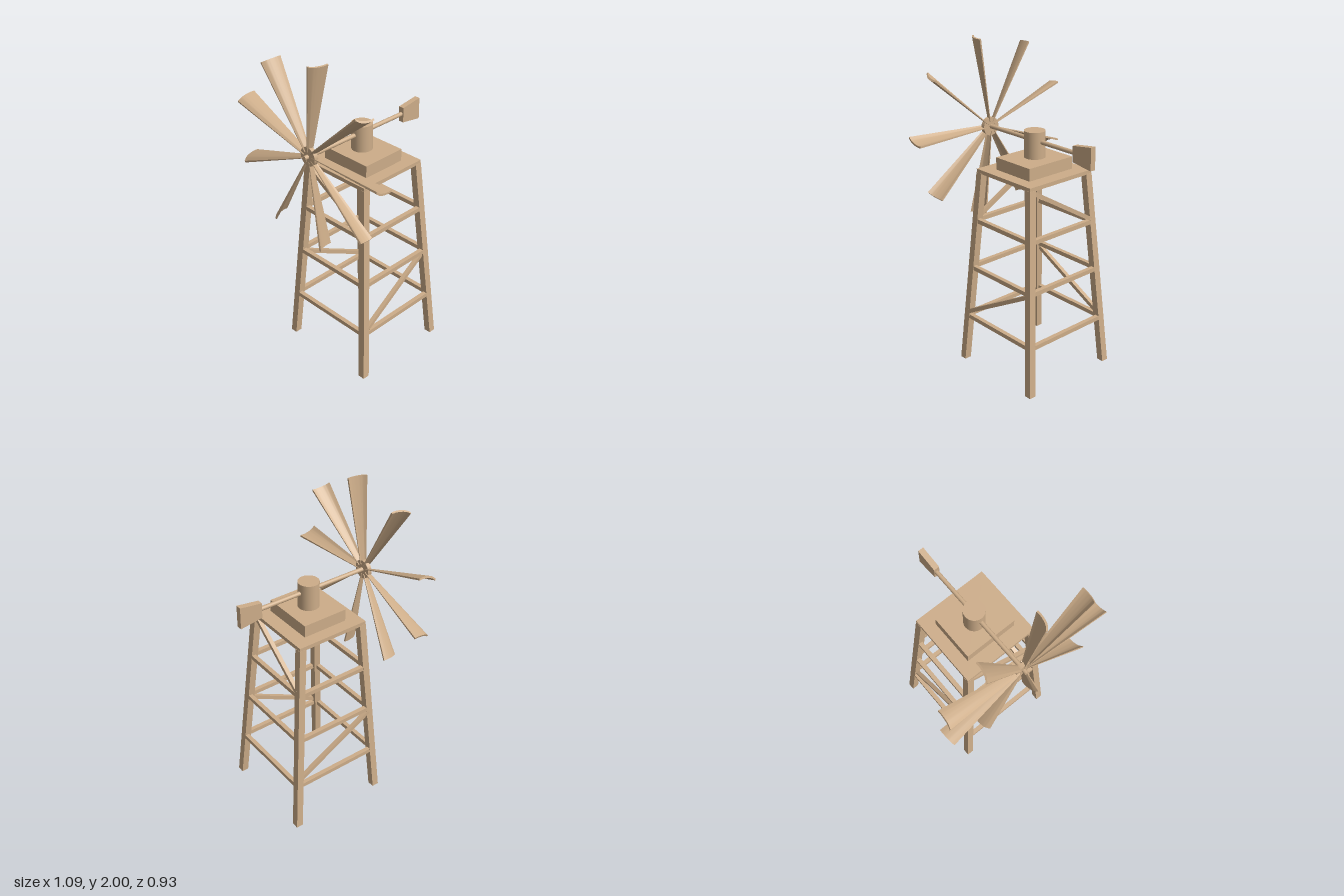
import * as THREE from 'three';
import { toCreasedNormals } from 'three/addons/utils/BufferGeometryUtils.js';

const wood = new THREE.MeshStandardMaterial({ color: 0xcdad89 });
wood.name = 'tan wood';

const CX = -0.007, CZ = 0.004;   // tower centre
const AX = -0.013, AY = 1.45;    // rotor axle
const LEG = 0.044, DECK = 1.275;

function add(parent, name, geometry, x = 0, y = 0, z = 0) {
  const mesh = new THREE.Mesh(geometry, wood);
  mesh.name = name;
  mesh.position.set(x, y, z);
  parent.add(mesh);
  return mesh;
}

// Moves every vertex of a geometry by a rule
function reshape(geometry, rule) {
  const p = geometry.attributes.position, v = new THREE.Vector3();
  for (let i = 0; i < p.count; i++) {
    rule(v.fromBufferAttribute(p, i));
    p.setXYZ(i, v.x, v.y, v.z);
  }
  geometry.computeVertexNormals();
  return geometry;
}

// Outer half width of the tapering tower at a given height
const halfX = y => 0.333 - 0.091 * y / DECK;
const halfZ = y => 0.328 - 0.096 * y / DECK;

// Straight square bar between two points
function bar(parent, name, a, b, size) {
  const d = b.clone().sub(a);
  const mesh = add(parent, name, new THREE.BoxGeometry(size, size, d.length()));
  mesh.position.copy(a).add(b).multiplyScalar(0.5);
  mesh.lookAt(b);
  return mesh;
}

function createTower() {
  const tower = new THREE.Group();
  tower.name = 'tower';
  tower.position.set(CX, 0, CZ);

  // Leaning square legs with level ends
  const legTop = DECK - 0.02;
  for (const sx of [-1, 1]) for (const sz of [-1, 1]) {
    const geo = new THREE.BoxGeometry(LEG, legTop, LEG).translate(0, legTop / 2, 0);
    add(tower, 'leg', reshape(geo, v => {
      v.x += sx * (halfX(v.y) - LEG / 2);
      v.z += sz * (halfZ(v.y) - LEG / 2);
    }));
  }

  // Three rings of crossbars
  const t = 0.027;
  for (const y of [0.31, 0.643, 0.953]) {
    const x = halfX(y) - 0.001, z = halfZ(y) - 0.001;
    for (const s of [-1, 1]) {
      add(tower, 'crossbar', new THREE.BoxGeometry(2 * x - LEG, t, t), 0, y, s * (z - t / 2));
      add(tower, 'crossbar', new THREE.BoxGeometry(t, t, 2 * z - LEG), s * (x - t / 2), y, 0);
    }
  }

  // One diagonal brace on each face, opposed on opposite faces
  const inset = 0.017;
  for (const s of [-1, 1]) {
    const [hi, lo] = [1.243, 0.975];
    bar(tower, 'upperBrace',
      new THREE.Vector3(-s * 0.225, hi, s * (halfZ(hi) - inset)),
      new THREE.Vector3(s * 0.23, lo, s * (halfZ(lo) - inset)), 0.025);
    const [top, low] = [0.622, 0.345];
    bar(tower, 'lowerBrace',
      new THREE.Vector3(s * (halfX(top) - inset), top, -s * 0.25),
      new THREE.Vector3(s * (halfX(low) - inset), low, s * 0.265), 0.025);
  }

  // Deck and machine base
  add(tower, 'deck', new THREE.BoxGeometry(0.484, 0.024, 0.464), 0, DECK - 0.012, 0);
  add(tower, 'machineBase', new THREE.BoxGeometry(0.336, 0.075, 0.287), 0, DECK + 0.0375, -0.002);
  return tower;
}

// Curved fan blade: an arched section that widens outwards along +x
function bladeGeometry() {
  const outer = [[0.016, 0.055], [-0.005, 0.03], [-0.015, 0], [-0.019, -0.03], [-0.018, -0.055]];
  const inner = [[-0.007, -0.055], [-0.008, -0.03], [-0.003, 0], [0.008, 0.03], [0.027, 0.052]];
  const vec = list => list.map(([a, b]) => new THREE.Vector2(a, b));
  const shape = new THREE.Shape();
  shape.moveTo(...outer[0]);
  shape.splineThru(vec(outer.slice(1)));
  shape.lineTo(...inner[0]);
  shape.splineThru(vec(inner.slice(1)));
  shape.closePath();
  const r0 = 0.03, r1 = 0.557;
  const geo = new THREE.ExtrudeGeometry(shape, { depth: 1, bevelEnabled: false, curveSegments: 3 });
  reshape(geo, v => {
    const k = 0.31 + 0.69 * v.z;
    v.set(r0 + (r1 - r0) * v.z, v.x * k, v.y * k);
  });
  return toCreasedNormals(geo, 0.6);
}

function createRotor() {
  const rotor = new THREE.Group();
  rotor.name = 'rotor';
  rotor.position.set(AX, AY, 0.407);
  const geo = bladeGeometry();
  for (let i = 0; i < 9; i++) {
    add(rotor, 'blade', geo).rotation.z = THREE.MathUtils.degToRad(0.5 + 40 * i);
  }
  add(rotor, 'hub', new THREE.CylinderGeometry(0.057, 0.057, 0.026, 24).rotateX(Math.PI / 2));
  return rotor;
}

export function createModel() {
  const model = new THREE.Group();
  model.name = 'windPump';
  model.add(createTower(), createRotor());

  // Turret and axle
  add(model, 'turret', new THREE.CylinderGeometry(0.063, 0.063, 0.16, 32), AX, 1.43, CZ);
  add(model, 'axle', new THREE.CylinderGeometry(0.013, 0.013, 0.776, 20).rotateX(Math.PI / 2), AX, AY, 0.058);

  // Tail vane, taller at the rear
  const vane = reshape(new THREE.BoxGeometry(0.035, 1, 0.14), v => {
    v.y *= v.z < 0 ? 0.134 : 0.094;
  });
  add(model, 'tailVane', vane, AX + 0.001, AY - 0.002, -0.393);
  return model;
}
